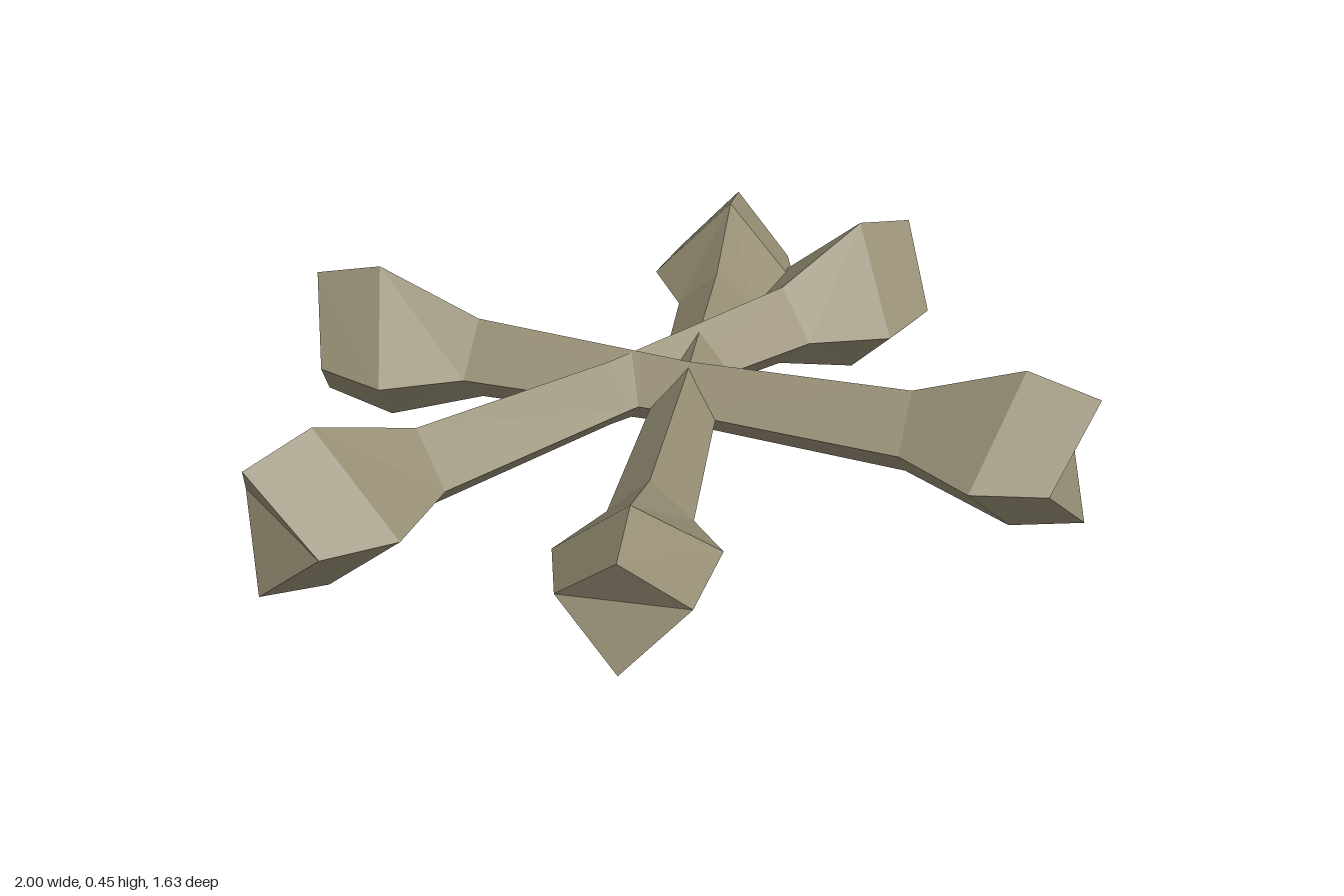
import * as THREE from 'three';

// Stations from the middle outwards: [distance of top/bottom corners, distance of side corners, half size]
const MIDDLE = [0, 0, 0.093];
const OUTWARD = [
  [0.555, 0.555, 0.116], // shoulder
  [0.819, 0.74, 0.222],  // knob
  [0.997, 0.92, 0.175],  // end
];

// Diamond-section bar with a knob at each end, along local x
function barGeometry(size, lift) {
  const mirrored = OUTWARD.map(([a, b, r]) => [-a, -b, r]).reverse();
  const rings = [...mirrored, MIDDLE, ...OUTWARD].map(([dTop, dSide, r]) => [
    [dTop, r, 0], [dSide, 0, r], [dTop, -r, 0], [dSide, 0, -r],
  ].map(p => p.map(v => v * size)));
  rings[5][3][1] += lift;

  const pos = [];
  const tri = (a, b, c) => pos.push(...a, ...b, ...c);
  for (let i = 0; i < rings.length - 1; i++) {
    for (let k = 0; k < 4; k++) {
      const n = (k + 1) % 4;
      const a = rings[i][k], b = rings[i][n], c = rings[i + 1][n], d = rings[i + 1][k];
      // fold each side from the knob's crest to the shoulder's side corner
      if ((k % 2 === 0) === (i < 3)) { tri(a, b, c); tri(a, c, d); }
      else { tri(a, b, d); tri(b, c, d); }
    }
  }
  // end caps with a level crease
  const [t, s, u, v] = rings[rings.length - 1];
  tri(t, s, v); tri(s, u, v);
  const [t2, s2, u2, v2] = rings[0];
  tri(t2, v2, s2); tri(s2, v2, u2);

  const geo = new THREE.BufferGeometry();
  geo.setAttribute('position', new THREE.Float32BufferAttribute(pos, 3));
  geo.computeVertexNormals();
  return geo;
}

export function createModel() {
  const group = new THREE.Group();
  group.name = 'crossedBones';
  const bone = new THREE.MeshStandardMaterial({ color: 0x958d73, flatShading: true });
  bone.name = 'dull bone';

  // Three bars crossing near the middle: centre x, z, direction x, z, size, raised corner
  const bars = [
    ['firstBone', -0.095, -0.078, -0.894, 0.447, 1.003, 0],
    ['secondBone', 0.098, -0.042, 0.883, 0.469, 1.009, 0],
    ['shortBone', 0.083, 0, -0.353, 0.936, 0.875, 0.045],
  ];
  for (const [name, x, z, dx, dz, size, lift] of bars) {
    const mesh = new THREE.Mesh(barGeometry(size, lift), bone);
    mesh.name = name;
    mesh.position.set(x, 0.225, z);
    mesh.rotation.y = Math.atan2(-dz, dx);
    group.add(mesh);
  }
  return group;
}
